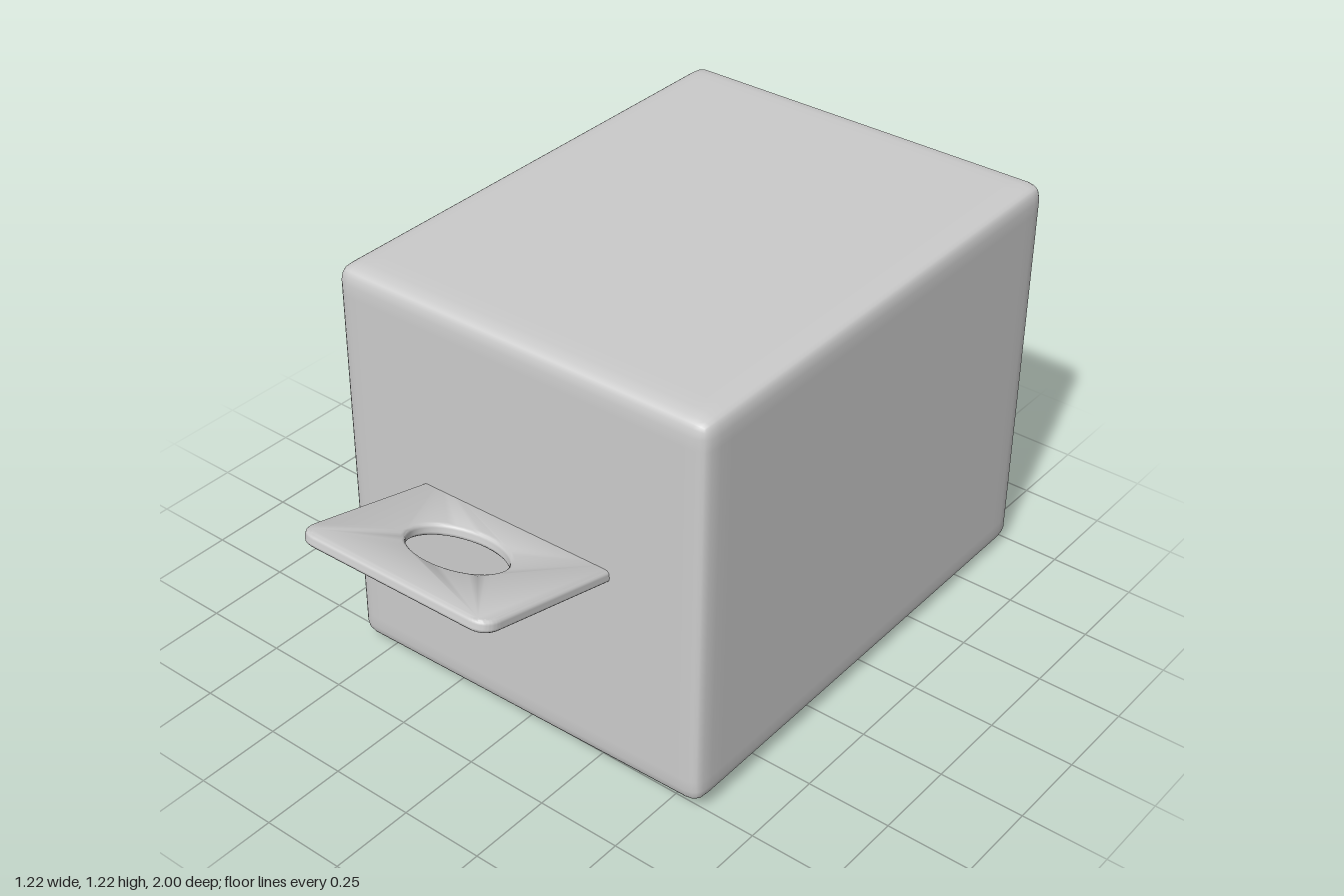
import * as THREE from 'three';
import { mergeVertices, toCreasedNormals } from 'three/addons/utils/BufferGeometryUtils.js';

const material = new THREE.MeshStandardMaterial({ color: 0xcccccc });

// Soft-edged block, slightly skewed, with a shallow funnel sunk into its back
function makeBlock() {
  const half = new THREE.Vector3(0.6, 0.6, 0.775), radius = 0.045;
  const inner = half.clone().subScalar(radius);
  const geo = new THREE.BoxGeometry(half.x * 2, half.y * 2, half.z * 2, 24, 24, 24);
  geo.deleteAttribute('uv');
  geo.deleteAttribute('normal');
  const pos = geo.attributes.position;
  const p = new THREE.Vector3(), core = new THREE.Vector3();
  for (let i = 0; i < pos.count; i++) {
    p.fromBufferAttribute(pos, i);
    // crowd the grid lines towards the edges, then round the edges
    for (const a of ['x', 'y', 'z']) p[a] = half[a] * Math.sin((p[a] / half[a]) * Math.PI / 2);
    core.copy(p).clamp(inner.clone().negate(), inner);
    p.sub(core).normalize().multiplyScalar(radius).add(core);

    const u = p.x / half.x, v = p.y / half.y, w = p.z / half.z;
    // funnel with a flat bottom
    if (w < -0.99) {
      const m = Math.max(Math.abs(p.x) / inner.x, Math.abs(p.y) / inner.y);
      const k = THREE.MathUtils.clamp((1 - m) / 0.6, 0, 1);
      p.z += 0.07 * k;
      p.y += 0.05 * k;
    }
    // slight skew of the whole block
    p.x += 0.012 * w - 0.003;
    p.y += 0.622 + 0.005 * w + (1 - v) * 0.5 * (0.008 * u + 0.008 * w);
    p.z += -0.225 - (0.006 * u + 0.006 * v) * (1 + w) * 0.5;
    pos.setXYZ(i, p.x, p.y, p.z);
  }
  const welded = mergeVertices(geo, 1e-5);
  welded.computeVertexNormals();
  return welded;
}

// Flat pull tab with rounded outer corners and an oval finger hole
function makeTab() {
  const bevel = 0.012, w = 0.315 - bevel, end = 0.515 - bevel, r = 0.045;
  const shape = new THREE.Shape();
  shape.moveTo(-w, 0);
  shape.lineTo(w, 0);
  shape.lineTo(w, end - r);
  shape.quadraticCurveTo(w, end, w - r, end);
  shape.lineTo(-w + r, end);
  shape.quadraticCurveTo(-w, end, -w, end - r);
  shape.closePath();
  const hole = new THREE.Path();
  hole.absellipse(0, 0.268, 0.148 + bevel, 0.108 + bevel, 0, Math.PI * 2, true);
  shape.holes.push(hole);
  const depth = 0.012;
  const geo = new THREE.ExtrudeGeometry(shape, {
    depth, bevelThickness: bevel, bevelSize: bevel, bevelSegments: 3, curveSegments: 20,
  });
  geo.translate(0, 0, -depth / 2);
  geo.rotateX(Math.PI / 2);
  return toCreasedNormals(geo, 0.9);
}

export function createModel() {
  const group = new THREE.Group();

  const block = new THREE.Mesh(makeBlock(), material);
  block.name = 'block';
  group.add(block);

  const tab = new THREE.Mesh(makeTab(), material);
  tab.name = 'pullTab';
  tab.position.set(0.003, 0.643, 0.5);
  tab.rotation.set(-0.24, 0, 0.015);
  group.add(tab);

  return group;
}
